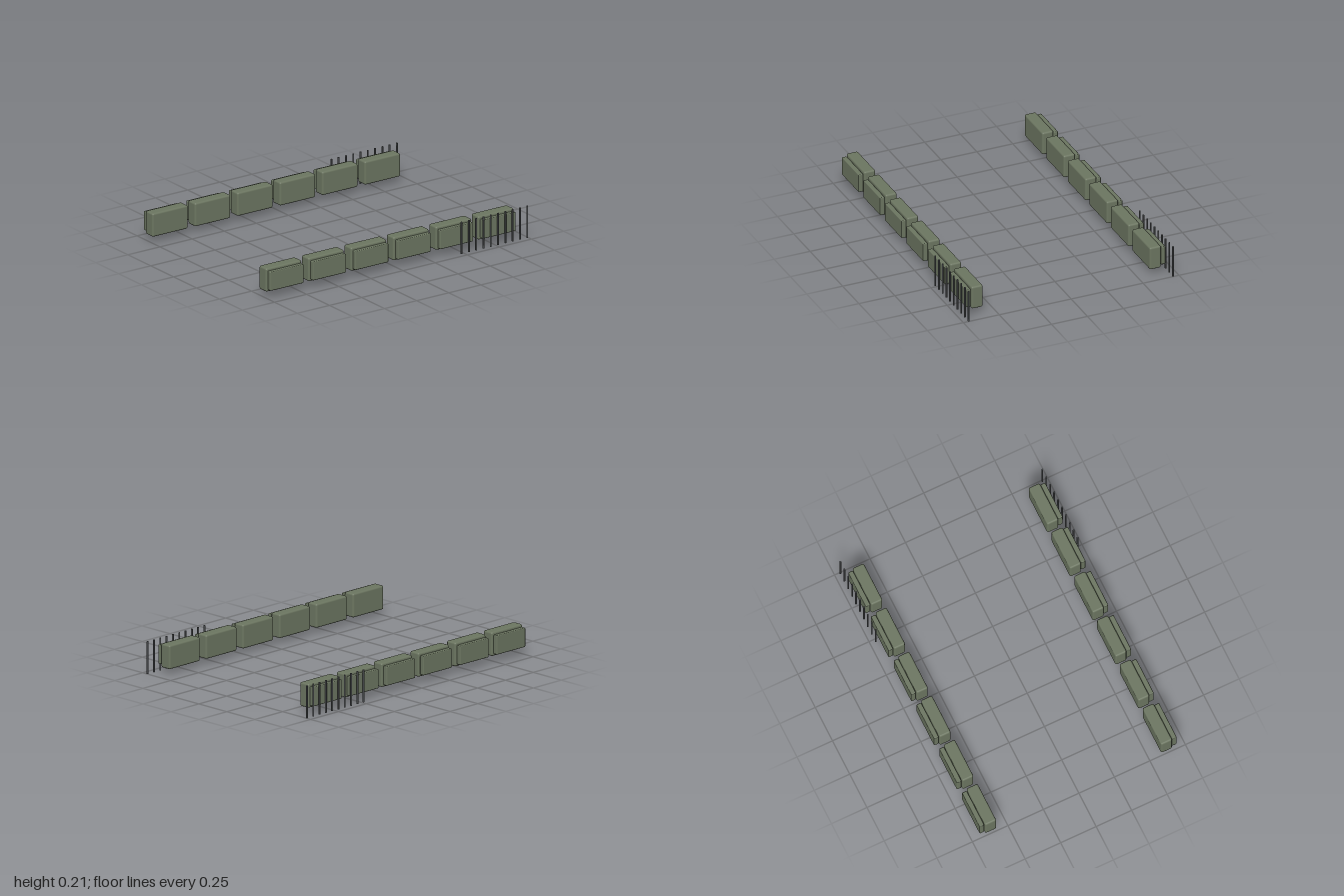
import * as THREE from 'three';
import { RoundedBoxGeometry } from 'three/addons/geometries/RoundedBoxGeometry.js';

export function createModel() {
  const model = new THREE.Group();
  model.name = 'armourRows';

  const green = new THREE.MeshStandardMaterial({ color: 0x6b7560 });
  const steel = new THREE.MeshStandardMaterial({ color: 0x55585a });

  const blockGeo = new RoundedBoxGeometry(0.079, 0.158, 0.277, 2, 0.012);
  const plateGeo = new RoundedBoxGeometry(0.033, 0.127, 0.258, 2, 0.006);
  const barGeo = new THREE.CylinderGeometry(0.006, 0.006, 0.214, 8);

  const add = (parent, name, geometry, material, x, y, z) => {
    const mesh = new THREE.Mesh(geometry, material);
    mesh.name = name;
    mesh.position.set(x, y, z);
    parent.add(mesh);
  };

  for (const [side, s] of [['left', 1], ['right', -1]]) {
    const row = new THREE.Group();
    row.name = side + 'Row';

    // Six thick blocks, each with a thinner plate on its outer face
    for (let i = 0; i < 6; i++) {
      const z = 0.861 - i * 0.3302;
      add(row, 'block', blockGeo, green, s * 0.6195, 0.119, z);
      add(row, 'outerPlate', plateGeo, green, s * 0.6775, 0.119, z);
    }

    // Upright bars guarding the rear end
    for (let i = 0; i < 10; i++) {
      add(row, 'rearBar', barGeo, steel, s * 0.711, 0.107, -0.994 + i * 0.0567);
    }
    model.add(row);
  }
  return model;
}
